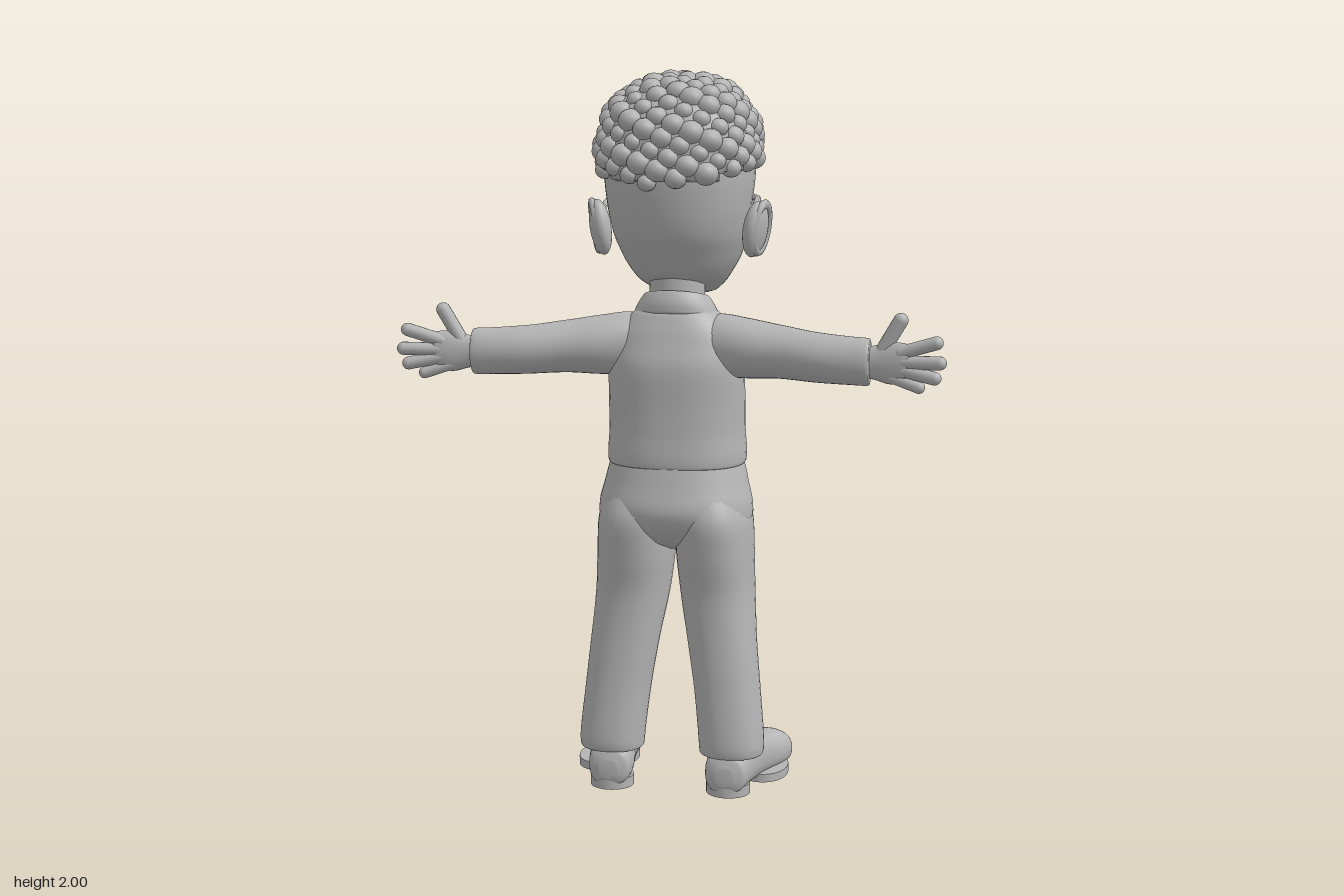
import * as THREE from 'three';
import { mergeGeometries } from 'three/addons/utils/BufferGeometryUtils.js';

const grey = new THREE.MeshStandardMaterial({ color: 0xb4b4b4 });
grey.name = 'grey';

const V = (x, y, z) => new THREE.Vector3(x, y, z);

// Smooth closed skin through elliptical sections [x, y, z, radiusU, radiusV] stacked along an axis
function loft(axis, rows, steps = 4, seg = 36, power = 2) {
  const [u, v] = { y: [0, 2], x: [2, 1], z: [0, 1] }[axis];
  const a = new THREE.CatmullRomCurve3(rows.map(r => V(r[0], r[1], r[2])), false, 'centripetal');
  const b = new THREE.CatmullRomCurve3(rows.map(r => V(r[3], r[4], 0)), false, 'catmullrom', 0.4);
  const n = (rows.length - 1) * steps, pos = [], idx = [];
  for (let i = 0; i <= n; i++) {
    const c = a.getPoint(i / n).toArray(), r = b.getPoint(i / n);
    for (let j = 0; j < seg; j++) {
      const t = j / seg * Math.PI * 2, p = c.slice();
      const f = w => Math.sign(w) * Math.abs(w) ** (2 / power);
      p[u] += f(Math.cos(t)) * Math.max(r.x, 0.001);
      p[v] += f(Math.sin(t)) * Math.max(r.y, 0.001);
      pos.push(...p);
      if (i < n) {
        const k = i * seg + j, m = i * seg + (j + 1) % seg;
        idx.push(k, k + seg, m, m, k + seg, m + seg);
      }
    }
  }
  // end caps
  const first = pos.length / 3, last = first + 1;
  pos.push(...a.getPoint(0).toArray(), ...a.getPoint(1).toArray());
  for (let j = 0; j < seg; j++) {
    const m = (j + 1) % seg;
    idx.push(first, j, m, last, n * seg + m, n * seg + j);
  }
  // turn all faces outwards
  let vol = 0;
  const at = i => V(pos[3 * i], pos[3 * i + 1], pos[3 * i + 2]).sub(V(pos[3 * first], pos[3 * first + 1], pos[3 * first + 2]));
  for (let i = 0; i < idx.length; i += 3) vol += at(idx[i]).dot(at(idx[i + 1]).cross(at(idx[i + 2])));
  if (vol < 0) idx.reverse();
  const g = new THREE.BufferGeometry();
  g.setAttribute('position', new THREE.Float32BufferAttribute(pos, 3));
  g.setIndex(idx);
  g.computeVertexNormals();
  return g;
}

const blob = (x, y, z, rx, ry, rz, w = 24, h = 16) =>
  new THREE.SphereGeometry(1, w, h).scale(rx, ry, rz).translate(x, y, z);

const tube = (pts, r, closed = false) =>
  new THREE.TubeGeometry(new THREE.CatmullRomCurve3(pts, closed), closed ? 48 : 20, r, 8, closed);

// Rounded rod between two points
function rod(p, q, r) {
  const d = q.clone().sub(p), g = new THREE.CapsuleGeometry(r, d.length(), 6, 14);
  g.applyQuaternion(new THREE.Quaternion().setFromUnitVectors(V(0, 1, 0), d.clone().normalize()));
  return g.translate((p.x + q.x) / 2, (p.y + q.y) / 2, (p.z + q.z) / 2);
}

function moveVertices(g, rule) {
  const p = g.attributes.position, v = V();
  for (let i = 0; i < p.count; i++) {
    rule(v.fromBufferAttribute(p, i));
    p.setXYZ(i, v.x, v.y, v.z);
  }
  g.computeVertexNormals();
  return g;
}

// Boxy dome that carries the hair
function hairPoint(d) {
  const k = (Math.abs(d.x / 0.212) ** 2.5 + Math.abs(d.y / 0.222) ** 2.5 + Math.abs(d.z / 0.237) ** 2.5) ** (-1 / 2.5);
  return d.multiplyScalar(k);
}
const hairline = z => -0.28 * z + 0.005;

export function createModel() {
  const model = new THREE.Group();
  model.name = 'boy';
  const add = (name, g) => {
    const m = new THREE.Mesh(g, grey);
    m.name = name;
    model.add(m);
  };
  const pair = (name, make) => {
    add('left' + name, make(1));
    add('right' + name, make(-1));
  };

  // Head and neck
  add('head', loft('y', [
    [0, 1.38, -0.11, 0.03, 0.03], [0, 1.395, -0.09, 0.085, 0.09], [0, 1.44, -0.045, 0.13, 0.155],
    [0, 1.5, -0.03, 0.165, 0.185], [0, 1.56, -0.01, 0.185, 0.2], [0, 1.63, 0.006, 0.197, 0.202],
    [0, 1.72, 0.002, 0.207, 0.217], [0, 1.82, 0, 0.202, 0.215], [0, 1.91, 0, 0.15, 0.16], [0, 1.95, 0, 0.02, 0.02]], 5, 48, 2.15));
  add('neck', loft('y', [[0, 1.3, 0.05, 0.08, 0.07], [0, 1.4, 0.04, 0.077, 0.075], [0, 1.48, 0.03, 0.08, 0.08]]));

  // Curly hair: a dome tucked in below the hairline, covered with curls
  const dome = moveVertices(new THREE.SphereGeometry(1, 48, 32), p => {
    hairPoint(p);
    if (p.y < hairline(p.z)) p.multiplyScalar(0.8);
    p.y += 1.76;
  });
  const curls = [], count = 300;
  for (let i = 0; i < count; i++) {
    const y = 1 - 2 * (i + 0.5) / count, r = Math.sqrt(1 - y * y), t = i * 2.39996;
    const p = hairPoint(V(Math.cos(t) * r, y, Math.sin(t) * r));
    if (p.y < hairline(p.z)) continue;
    const s = 0.031 + 0.005 * Math.sin(i * 7.3);
    curls.push(blob(p.x * 0.96, p.y * 0.96 + 1.76, p.z * 0.96, s, s * 0.9, s, 12, 8));
  }
  add('hairBase', dome);
  add('hairCurls', mergeGeometries(curls));

  // Face
  add('nose', blob(0, 1.556, -0.215, 0.042, 0.033, 0.042));
  add('muzzle', blob(0, 1.485, -0.165, 0.085, 0.05, 0.062));
  add('mouth', tube([V(-0.05, 1.478, -0.207), V(0, 1.468, -0.226), V(0.05, 1.478, -0.207)], 0.005));
  pair('Ear', s => blob(0, 0, 0, 0.03, 0.078, 0.046).rotateY(s * -0.35).rotateZ(s * -0.15).translate(s * 0.218, 1.575, 0.04));
  pair('EarRim', s => new THREE.TorusGeometry(0.05, 0.011, 8, 28).scale(0.75, 1.3, 1)
    .rotateY(s * (Math.PI / 2 - 0.35)).rotateZ(s * -0.15).translate(s * 0.233, 1.578, 0.036));
  pair('Eye', s => blob(s * 0.083, 1.632, -0.168, 0.042, 0.042, 0.022));
  pair('Eyebrow', s => tube([V(s * 0.035, 1.715, -0.212), V(s * 0.085, 1.73, -0.2), V(s * 0.14, 1.715, -0.165)], 0.011));

  // Glasses
  const lensZ = x => -0.222 + x * x * 1.2;
  pair('GlassesRim', s => {
    const pts = [];
    for (let i = 0; i < 24; i++) {
      const t = i / 24 * Math.PI * 2, f = w => Math.sign(w) * Math.abs(w) ** 0.55;
      const x = 0.092 + 0.07 * f(Math.cos(t));
      pts.push(V(s * x, 1.63 + 0.06 * f(Math.sin(t)), lensZ(x)));
    }
    return tube(pts, 0.0095, true);
  });
  pair('GlassesTemple', s => tube([V(s * 0.162, 1.652, -0.19), V(s * 0.195, 1.65, -0.12), V(s * 0.21, 1.645, -0.02), V(s * 0.212, 1.63, 0.03)], 0.009));
  add('glassesBridge', tube([V(-0.025, 1.645, -0.221), V(0, 1.652, -0.228), V(0.025, 1.645, -0.221)], 0.009));

  // Shirt
  add('shirtBody', loft('y', [
    [0, 0.935, 0.036, 0.17, 0.135], [0, 0.925, 0.036, 0.19, 0.155], [0, 0.955, 0.036, 0.194, 0.158], [0, 1.02, 0.037, 0.19, 0.153],
    [0, 1.1, 0.042, 0.19, 0.147], [0, 1.2, 0.053, 0.188, 0.136], [0, 1.28, 0.055, 0.172, 0.112],
    [0, 1.34, 0.055, 0.125, 0.09], [0, 1.375, 0.05, 0.08, 0.07]], 5, 44, 2.35));
  add('placket', loft('y', [[0, 0.93, -0.118, 0.02, 0.008], [0, 1.02, -0.116, 0.02, 0.008], [0, 1.1, -0.105, 0.02, 0.008],
    [0, 1.2, -0.083, 0.02, 0.008], [0, 1.31, -0.042, 0.018, 0.008]], 4, 12, 4));
  [[1.0, -0.126], [1.1, -0.114], [1.2, -0.092]].forEach(([y, z], i) => add('shirtButton' + (i + 1), blob(0, y, z, 0.008, 0.008, 0.004, 12, 8)));
  add('collar', moveVertices(loft('y', [[0, 1.325, 0.05, 0.125, 0.092], [0, 1.355, 0.048, 0.112, 0.093], [0, 1.39, 0.045, 0.09, 0.083], [0, 1.392, 0.045, 0.075, 0.07]]),
    p => { p.y += (p.z - 0.045) * 0.25; }));
  pair('CollarFlap', s => {
    const shape = new THREE.Shape([[0.008, 0.035], [0.075, 0.065], [0.115, 0.02], [0.06, -0.035]].map(([x, y]) => new THREE.Vector2(s * x, y)));
    return new THREE.ExtrudeGeometry(shape, { depth: 0.012, bevelSize: 0.004, bevelThickness: 0.004, bevelSegments: 2 })
      .rotateX(0.4).rotateY(s * -0.5).translate(0, 1.325, -0.066);
  });
  pair('Sleeve', s => loft('x', [
    [s * 0.06, 1.26, 0.06, 0.07, 0.07], [s * 0.13, 1.258, 0.065, 0.085, 0.086], [s * 0.2, 1.253, 0.08, 0.088, 0.083], [s * 0.3, 1.248, 0.102, 0.08, 0.073],
    [s * 0.4, 1.24, 0.134, 0.068, 0.068], [s * 0.5, 1.236, 0.155, 0.055, 0.065], [s * 0.55, 1.235, 0.163, 0.046, 0.063], [s * 0.553, 1.235, 0.163, 0.03, 0.045]]));

  // Hands with four fingers and a raised thumb
  pair('Palm', s => loft('x', [[s * 0.52, 1.235, 0.165, 0.028, 0.04], [s * 0.56, 1.235, 0.17, 0.026, 0.045], [s * 0.61, 1.235, 0.18, 0.024, 0.056],
    [s * 0.65, 1.24, 0.188, 0.02, 0.05], [s * 0.67, 1.24, 0.192, 0.006, 0.03]], 4, 24));
  const fingers = [
    ['Thumb', 0.575, 1.25, 0.172, 0.633, 1.35, 0.178, 0.02], ['IndexFinger', 0.635, 1.265, 0.188, 0.73, 1.295, 0.202, 0.0185],
    ['MiddleFinger', 0.64, 1.24, 0.19, 0.74, 1.243, 0.21, 0.0185], ['RingFinger', 0.635, 1.22, 0.188, 0.727, 1.202, 0.208, 0.018],
    ['LittleFinger', 0.61, 1.2, 0.182, 0.685, 1.175, 0.195, 0.0165]];
  for (const [name, a, b, c, d, e, f, r] of fingers) pair(name, s => rod(V(s * a, b, c), V(s * d, e, f), r));

  // Trousers
  add('trouserSeat', loft('y', [
    [0, 0.685, 0.055, 0.02, 0.05], [0, 0.715, 0.055, 0.12, 0.115], [0, 0.76, 0.056, 0.208, 0.15], [0, 0.81, 0.056, 0.216, 0.163],
    [0, 0.88, 0.046, 0.2, 0.157], [0, 0.96, 0.036, 0.18, 0.148]], 5, 44, 2.2));
  add('trouserButton', blob(0, 0.905, -0.114, 0.012, 0.012, 0.008, 14, 10));
  pair('TrouserLeg', s => loft('y', [
    [s * 0.172, 0.112, 0.116, 0.07, 0.065], [s * 0.172, 0.11, 0.116, 0.088, 0.08], [s * 0.172, 0.14, 0.116, 0.092, 0.086], [s * 0.158, 0.28, 0.102, 0.093, 0.09],
    [s * 0.14, 0.42, 0.088, 0.097, 0.095], [s * 0.122, 0.56, 0.062, 0.104, 0.118], [s * 0.113, 0.68, 0.056, 0.108, 0.144],
    [s * 0.108, 0.78, 0.056, 0.106, 0.155], [s * 0.095, 0.87, 0.048, 0.085, 0.13]], 4, 36, 2.2));

  // Shoes, toes turned outwards
  pair('Shoe', s => moveVertices(loft('z', [
    [s * 0.166, 0.06, 0.203, 0.025, 0.025], [s * 0.167, 0.063, 0.19, 0.055, 0.055], [s * 0.17, 0.07, 0.14, 0.064, 0.068], [s * 0.184, 0.072, 0.06, 0.066, 0.072],
    [s * 0.198, 0.066, 0, 0.07, 0.07], [s * 0.215, 0.056, -0.06, 0.079, 0.062], [s * 0.228, 0.05, -0.115, 0.081, 0.06],
    [s * 0.238, 0.045, -0.155, 0.06, 0.045], [s * 0.242, 0.04, -0.174, 0.02, 0.02]], 5, 32, 2.3), p => { p.y = Math.max(p.y, 0.018); }));
  pair('FrontSole', s => new THREE.CylinderGeometry(1, 1, 0.024, 36).scale(0.08, 1, 0.115).rotateY(s * 0.25).translate(s * 0.226, 0.012, -0.062));
  pair('Heel', s => new THREE.CylinderGeometry(1, 1, 0.03, 32).scale(0.062, 1, 0.058).translate(s * 0.168, 0.015, 0.142));

  return model;
}
